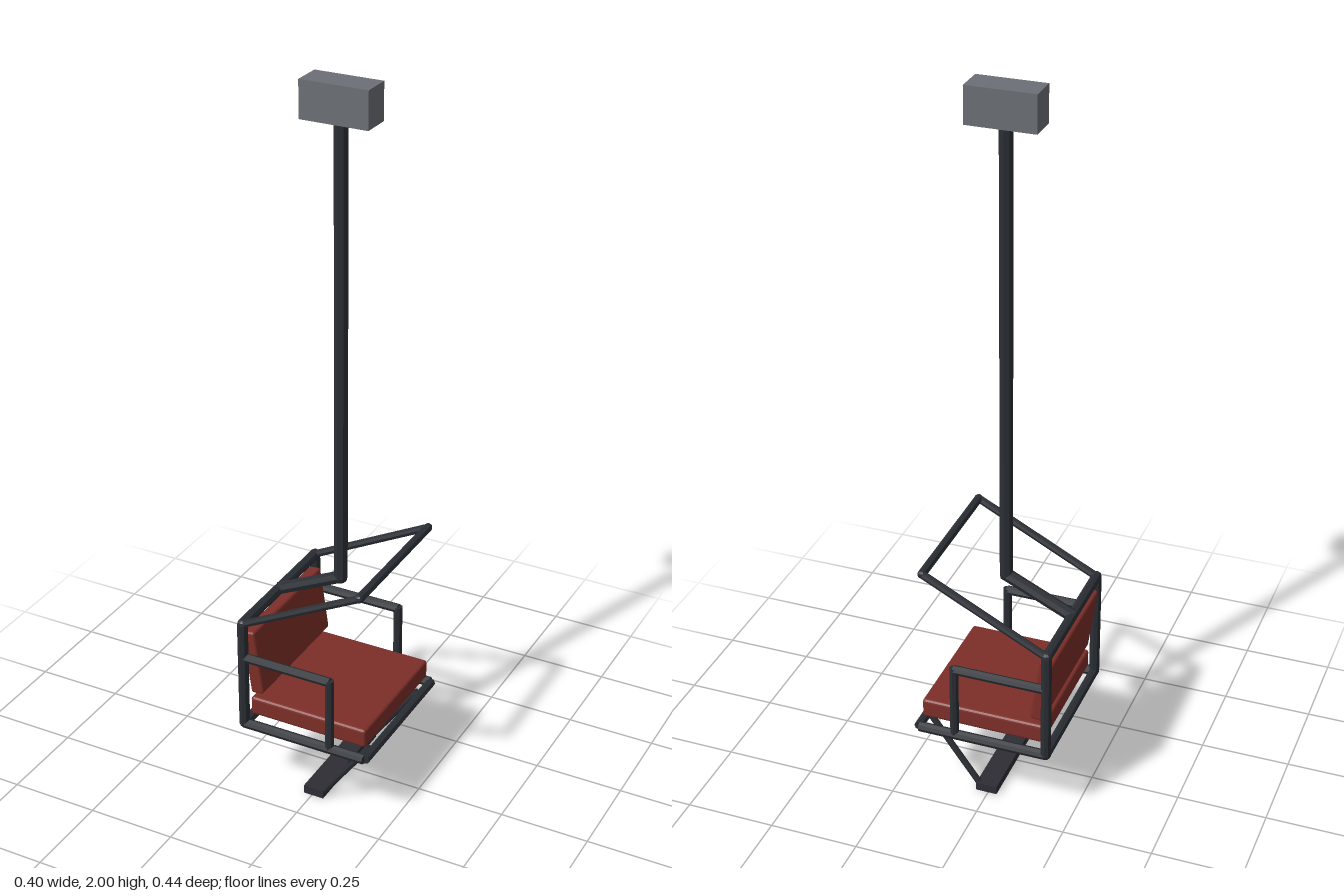
import * as THREE from 'three';
import { RoundedBoxGeometry } from 'three/addons/geometries/RoundedBoxGeometry.js';

const paint = (color) => new THREE.MeshStandardMaterial({ color, flatShading: true });
const steel = paint(0x2a2e34);
const plateSteel = paint(0x2e2d35);
const grey = paint(0x6b7076);
const red = paint(0x7d2e28);

export function createModel() {
  const root = new THREE.Group();
  root.name = 'liftChair';

  const add = (parent, name, geometry, material, x, y, z) => {
    const mesh = new THREE.Mesh(geometry, material);
    mesh.name = name;
    mesh.position.set(x, y, z);
    parent.add(mesh);
    return mesh;
  };

  // Octagonal tube between two points
  const bar = (parent, name, a, b, radius) => {
    const from = new THREE.Vector3(...a);
    const to = new THREE.Vector3(...b);
    const dir = to.clone().sub(from);
    const mid = from.clone().add(to).multiplyScalar(0.5);
    const geometry = new THREE.CylinderGeometry(radius, radius, dir.length(), 8);
    const mesh = add(parent, name, geometry, steel, mid.x, mid.y, mid.z);
    mesh.quaternion.setFromUnitVectors(new THREE.Vector3(0, 1, 0), dir.normalize());
    return mesh;
  };

  // Rounded knuckle where tubes meet
  const joint = (parent, p, radius) =>
    add(parent, 'joint', new THREE.SphereGeometry(radius, 8, 6), steel, ...p);

  const backX = -0.183, railY = 0.211, topY = 0.53, sideZ = 0.206;
  const poleX = 0.006, bendY = 0.62;
  const barX = 0.165, barY = 0.709;

  // Hanger: cable grip, pole and bent arm to the backrest
  const hanger = new THREE.Group();
  hanger.name = 'hanger';
  root.add(hanger);
  add(hanger, 'cableGrip', new THREE.BoxGeometry(0.188, 0.1, 0.082), grey, poleX, 1.95, 0);
  bar(hanger, 'pole', [poleX, bendY, 0], [poleX, 1.91, 0], 0.019);
  bar(hanger, 'hangerArm', [backX, topY, 0], [poleX, bendY, 0], 0.018);
  joint(hanger, [poleX, bendY, 0], 0.019);

  // Seat frame: cross bars, then matching left and right sides
  const frame = new THREE.Group();
  frame.name = 'seatFrame';
  root.add(frame);
  bar(frame, 'backTopBar', [backX, topY, -sideZ], [backX, topY, sideZ], 0.015);
  bar(frame, 'backBottomBar', [backX, railY, -sideZ], [backX, railY, sideZ], 0.014);
  bar(frame, 'frontBar', [0.185, railY, -sideZ], [0.185, railY, sideZ], 0.013);

  for (const side of [-1, 1]) {
    const z = side * sideZ;
    bar(frame, 'backPost', [backX, railY, z], [backX, topY, z], 0.015);
    bar(frame, 'sideRail', [backX, railY, z], [0.182, railY, z], 0.014);
    bar(frame, 'armrest', [backX, 0.425, z], [0.08, 0.425, z], 0.013);
    bar(frame, 'armrestPost', [0.079, railY, z], [0.079, 0.431, z], 0.013);
    joint(frame, [backX, topY, z], 0.015);
    joint(frame, [backX, railY, z], 0.014);
  }

  // Raised safety bar
  const safety = new THREE.Group();
  safety.name = 'safetyBar';
  root.add(safety);
  for (const side of [-1, 1]) {
    const z = side * sideZ;
    bar(safety, 'safetyBarArm', [backX, topY, z], [barX, barY, z], 0.011);
    joint(safety, [barX, barY, z], 0.012);
  }
  bar(safety, 'safetyCrossBar', [barX, barY, -sideZ], [barX, barY, sideZ], 0.012);

  // Cushions
  add(root, 'seatCushion', new RoundedBoxGeometry(0.35, 0.056, 0.386, 2, 0.009), red, 0.004, 0.264, 0);
  const back = add(root, 'backCushion', new RoundedBoxGeometry(0.038, 0.192, 0.386, 2, 0.008), red, -0.163, 0.403, 0);
  back.rotation.z = 0.14;

  // Footrest: two slanted struts and a plate
  const footrest = new THREE.Group();
  footrest.name = 'footrest';
  root.add(footrest);
  for (const z of [-0.149, 0.149]) {
    bar(footrest, 'footrestStrut', [0.17, 0.21, z], [0.03, 0.016, z], 0.009);
  }
  add(footrest, 'footPlate', new THREE.BoxGeometry(0.06, 0.024, 0.325), plateSteel, 0.005, 0.012, 0);

  return root;
}
